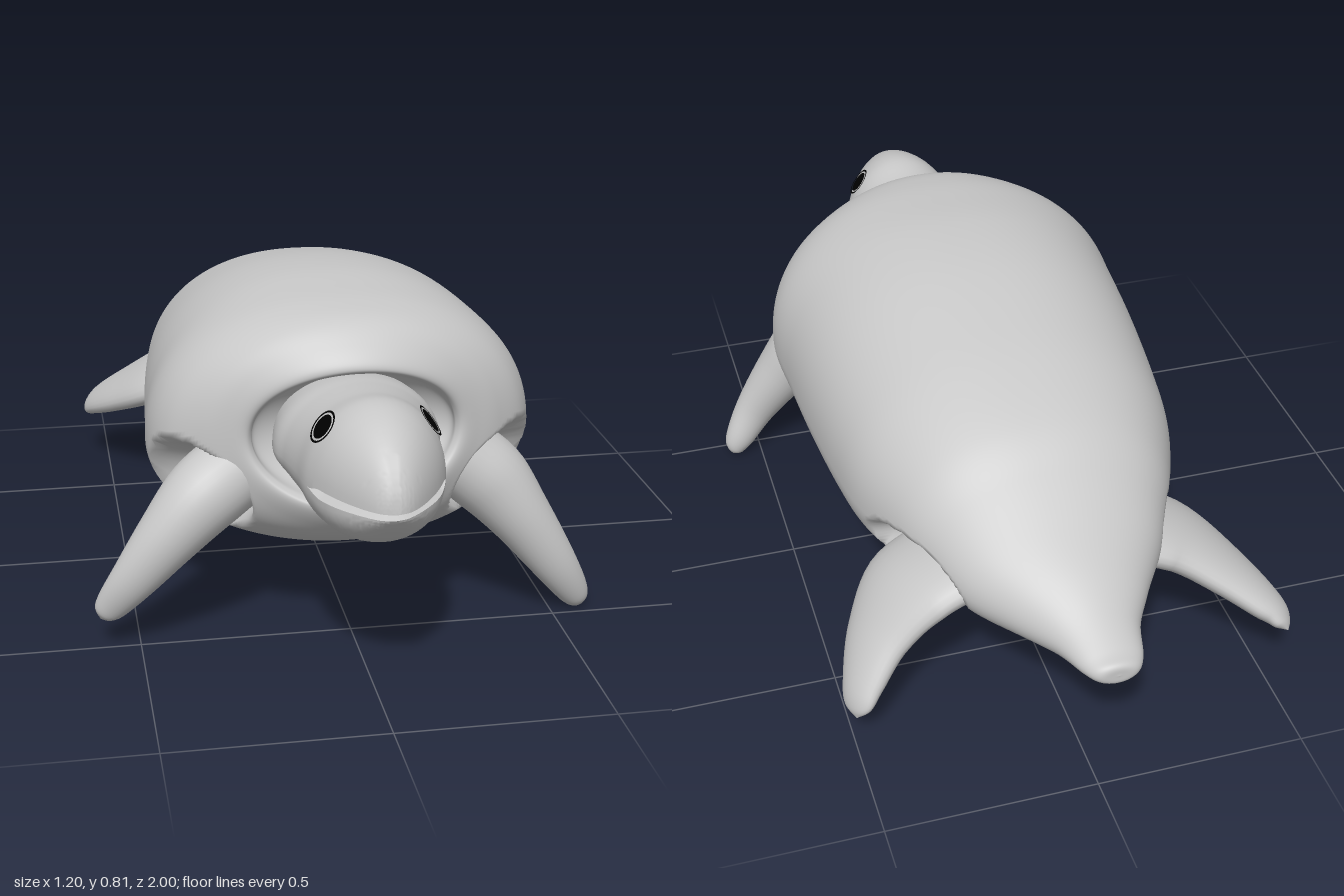
import * as THREE from 'three';
import { toCreasedNormals } from 'three/addons/utils/BufferGeometryUtils.js';

const skin = new THREE.MeshStandardMaterial({ color: 0xc8c8c8 });
skin.name = 'grey skin';
const black = new THREE.MeshStandardMaterial({ color: 0x000000 });
black.name = 'eye black';

const V = (x, y, z) => new THREE.Vector3(x, y, z);
const { smoothstep, lerp } = THREE.MathUtils;

// Closed rings of points joined into a skin; point(t, j) gives corner j of the ring at t in 0..1
function loft(rings, sides, point) {
  const pos = [], index = [];
  for (let i = 0; i <= rings; i++) {
    for (let j = 0; j < sides; j++) pos.push(...point(i / rings, j).toArray());
  }
  for (let i = 0; i < rings; i++) {
    for (let j = 0; j < sides; j++) {
      const k = (j + 1) % sides;
      const a = i * sides + j, b = i * sides + k, c = a + sides, d = b + sides;
      index.push(a, b, c, b, d, c);
    }
  }
  const geo = new THREE.BufferGeometry();
  geo.setAttribute('position', new THREE.Float32BufferAttribute(pos, 3));
  geo.setIndex(index);
  geo.computeVertexNormals();
  return geo;
}

// Smooth interpolation of table rows with up to six columns
function rowCurve(rows) {
  const half = (k) => new THREE.CatmullRomCurve3(
    rows.map((r) => V(r[k] ?? 0, r[k + 1] ?? 0, r[k + 2] ?? 0)), false, 'catmullrom', 0.5);
  const a = half(0), b = half(3);
  return (t) => [...a.getPoint(t).toArray(), ...b.getPoint(t).toArray()];
}

function add(group, name, geo, material) {
  const mesh = new THREE.Mesh(geo, material);
  mesh.name = name;
  group.add(mesh);
}

// Shell, tail and neck opening: z, half width, top, bottom, sideways sweep of the rim
const bodyRows = [
  [-1.0, 0.0, 0.33, 0.33, 0],
  [-0.995, 0.045, 0.355, 0.305, 0],
  [-0.96, 0.072, 0.37, 0.295, 0],
  [-0.88, 0.105, 0.415, 0.28, 0],
  [-0.8, 0.165, 0.47, 0.268, 0],
  [-0.7, 0.24, 0.53, 0.25, 0],
  [-0.6, 0.292, 0.595, 0.232, 0],
  [-0.5, 0.34, 0.66, 0.207, 0],
  [-0.35, 0.395, 0.717, 0.165, 0],
  [-0.2, 0.42, 0.757, 0.145, 0],
  [0.0, 0.44, 0.797, 0.136, 0],
  [0.18, 0.452, 0.812, 0.145, 0],
  [0.33, 0.46, 0.806, 0.173, 0],
  [0.43, 0.425, 0.796, 0.203, 0],
  [0.51, 0.352, 0.777, 0.245, 0.015],
  [0.565, 0.292, 0.735, 0.295, 0.04],
  [0.597, 0.256, 0.695, 0.34, 0.06],
  [0.587, 0.238, 0.675, 0.358, 0.06],
  [0.53, 0.225, 0.66, 0.375, 0.035],
  [0.46, 0.14, 0.6, 0.44, 0],
];

// Hollows around the flippers: centre and radii
const sockets = [];
for (const s of [1, -1]) {
  sockets.push({ c: V(s * 0.4, 0.36, 0.455), r: V(0.2, 0.135, 0.13) });
  sockets.push({ c: V(s * 0.34, 0.345, -0.555), r: V(0.2, 0.09, 0.185) });
}

// Ellipse coordinate, squarer as the power drops below one
const full = (v, power) => Math.sign(v) * Math.abs(v) ** power;

function bodyGeometry() {
  const sides = 160, row = rowCurve(bodyRows);
  return loft(200, sides, (t, j) => {
    const [z, hw, top, bottom, sweep] = row(t);
    const a = (j / sides) * Math.PI * 2, sin = Math.sin(a);
    // the widest line sits low on the shell and level with the middle of the neck opening
    const shell = smoothstep(z, -0.9, -0.4) * (1 - smoothstep(t, 0.66, 0.8));
    const mid = lerp(bottom, top, lerp(0.5, 0.425, shell));
    const power = sin > 0 ? lerp(1, 0.9, shell) : 1;
    const cx = -0.035 * smoothstep(-z, 0.7, 1);
    const p = V(cx + hw * full(Math.cos(a), power),
      mid + (sin > 0 ? top - mid : mid - bottom) * full(sin, power),
      z - sweep * Math.cos(a) ** 2);
    if (t < 0.83) {
      for (const { c, r } of sockets) {
        const d = p.clone().sub(c).divide(r).length();
        if (d < 1) p.lerp(V(cx, mid, p.z), 0.24 * smoothstep(1 - d, 0, 0.24));
      }
    }
    return p;
  });
}

// Neck and head: z, half width, top, bottom
const headRows = [
  [0.42, 0.17, 0.64, 0.43],
  [0.55, 0.192, 0.66, 0.415],
  [0.62, 0.178, 0.665, 0.392],
  [0.7, 0.163, 0.672, 0.378],
  [0.78, 0.155, 0.684, 0.37],
  [0.85, 0.13, 0.672, 0.384],
  [0.91, 0.098, 0.645, 0.41],
  [0.96, 0.062, 0.605, 0.445],
  [0.99, 0.03, 0.555, 0.475],
  [1.0, 0.0, 0.51, 0.49],
];

// The ring is an upper half, a lower half, and a point set back in the mouth on each side
function headGeometry() {
  const half = 25, sides = half * 2 + 2, row = rowCurve(headRows), m = 0.497;
  const geo = loft(70, sides, (t, j) => {
    const [z, hw, top, bottom] = row(t);
    const open = smoothstep(z, 0.79, 0.84), gap = 0.011 * open;
    const inner = j === half || j === sides - 1;
    if (inner) {
      const side = j === half ? -1 : 1;
      return V(side * hw * (1 - 0.25 * open), m, z - 0.05 * open);
    }
    const upper = j < half;
    const a = ((upper ? j : j - half - 1) / (half - 1)) * Math.PI;
    if (upper) {
      const lip = m + gap;
      return V(hw * Math.cos(a), lip + Math.max(0, top - lip) * Math.sin(a), z);
    }
    const lip = m - gap;
    return V(-hw * Math.cos(a), lip - Math.max(0, lip - bottom) * Math.sin(a),
      z - 0.02 * smoothstep(z, 0.85, 1));
  });
  return toCreasedNormals(geo, 0.8);
}

// Flipper: rows of x, y, z, half width, half thickness; across is the broad direction
function flipperGeometry(rows, across) {
  const sides = 28, row = rowCurve(rows);
  const path = new THREE.CatmullRomCurve3(
    rows.map((r) => V(r[0], r[1], r[2])), false, 'catmullrom', 0.5);
  return loft(32, sides, (t, j) => {
    const [x, y, z, w, h] = row(t);
    const dir = path.getTangent(t);
    const wide = across.clone().addScaledVector(dir, -across.dot(dir)).normalize();
    const thick = dir.clone().cross(wide);
    const a = (j / sides) * Math.PI * 2;
    return V(x, y, z).addScaledVector(wide, w * Math.cos(a)).addScaledVector(thick, h * Math.sin(a));
  });
}

const flippers = {
  leftFrontFlipper: [[
    [0.27, 0.41, 0.435, 0.095, 0.095], [0.345, 0.345, 0.445, 0.095, 0.095], [0.42, 0.25, 0.467, 0.075, 0.075],
    [0.5, 0.135, 0.48, 0.05, 0.056], [0.555, 0.05, 0.468, 0.036, 0.04],
    [0.573, 0.016, 0.46, 0.022, 0.024], [0.58, 0.002, 0.457, 0, 0],
  ], V(0, 0, 1)],
  rightFrontFlipper: [[
    [-0.27, 0.41, 0.445, 0.095, 0.095], [-0.35, 0.36, 0.485, 0.092, 0.092], [-0.43, 0.28, 0.51, 0.07, 0.075],
    [-0.51, 0.185, 0.518, 0.044, 0.056], [-0.565, 0.112, 0.504, 0.028, 0.04],
    [-0.583, 0.086, 0.497, 0.018, 0.024], [-0.592, 0.074, 0.495, 0, 0],
  ], V(0, 0, 1)],
  leftRearFlipper: [[
    [0.22, 0.355, -0.545, 0.16, 0.06], [0.33, 0.305, -0.565, 0.148, 0.056], [0.41, 0.225, -0.612, 0.105, 0.046],
    [0.465, 0.145, -0.675, 0.067, 0.034], [0.487, 0.102, -0.708, 0.045, 0.02], [0.495, 0.08, -0.722, 0, 0],
  ], V(0.35, -0.2, 0.9)],
  rightRearFlipper: [[
    [-0.22, 0.36, -0.545, 0.16, 0.06], [-0.33, 0.315, -0.575, 0.148, 0.056], [-0.43, 0.25, -0.652, 0.11, 0.046],
    [-0.51, 0.19, -0.735, 0.07, 0.034], [-0.534, 0.165, -0.776, 0.042, 0.02], [-0.543, 0.152, -0.797, 0, 0],
  ], V(-0.35, -0.2, 0.9)],
};

export function createModel() {
  const model = new THREE.Group();
  model.name = 'turtle';
  add(model, 'body', bodyGeometry(), skin);
  add(model, 'head', headGeometry(), skin);
  for (const [name, [rows, across]] of Object.entries(flippers)) {
    add(model, name, flipperGeometry(rows, across), skin);
  }

  // Eyes: a pupil disc with a thin outline
  for (const s of [1, -1]) {
    const eye = new THREE.Group();
    eye.name = s > 0 ? 'leftEye' : 'rightEye';
    const normal = V(s * 0.77, 0.6, 0.16).normalize();
    eye.position.set(s * 0.113, 0.625, 0.78).addScaledVector(normal, 0.006);
    eye.lookAt(eye.position.clone().add(normal));
    add(eye, 'pupil', new THREE.CircleGeometry(0.029, 28), black);
    add(eye, 'eyeOutline', new THREE.RingGeometry(0.034, 0.039, 32), black);
    model.add(eye);
  }
  return model;
}
